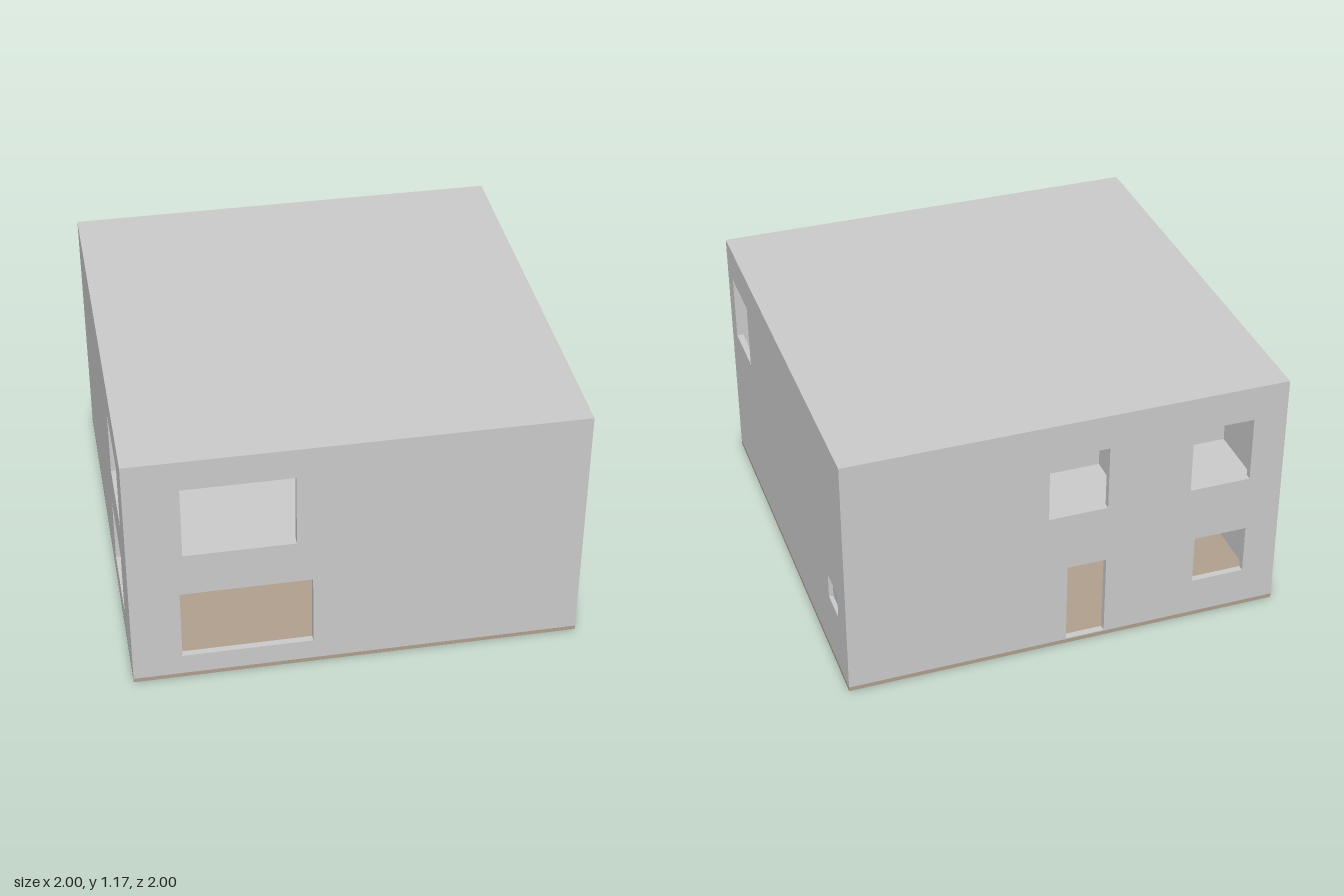
import * as THREE from 'three';

const T = 0.03;        // wall thickness
const BASE = 0.02;     // ground slab height
const TOP = 1.175;     // roof height
const FLOOR = 0.54;    // upper floor level

const grey = new THREE.MeshStandardMaterial({ color: 0xcccccc });
const brown = new THREE.MeshStandardMaterial({ color: 0xb0a08e });
const glass = new THREE.MeshStandardMaterial({ color: 0xbcc2ca });

// Box given by its limits on each axis
function block(name, [x0, x1], [y0, y1], [z0, z1], material = grey) {
  const mesh = new THREE.Mesh(new THREE.BoxGeometry(x1 - x0, y1 - y0, z1 - z0), material);
  mesh.position.set((x0 + x1) / 2, (y0 + y1) / 2, (z0 + z1) / 2);
  mesh.name = name;
  return mesh;
}

function rectangle(target, [u0, u1, v0, v1]) {
  target.moveTo(u0, v0);
  target.lineTo(u1, v0);
  target.lineTo(u1, v1);
  target.lineTo(u0, v1);
  target.closePath();
  return target;
}

// Upright wall from u0 to u1 with rectangular openings [u0, u1, y0, y1]
function wall(name, u0, u1, openings) {
  const shape = rectangle(new THREE.Shape(), [u0, u1, BASE, TOP - T]);
  for (const o of openings) shape.holes.push(rectangle(new THREE.Path(), o));
  const geometry = new THREE.ExtrudeGeometry(shape, { depth: T, bevelEnabled: false });
  const mesh = new THREE.Mesh(geometry, grey);
  mesh.name = name;
  return mesh;
}

export function createModel() {
  const house = new THREE.Group();
  house.name = 'house';

  // Slabs
  house.add(block('groundSlab', [-1, 1], [0, BASE], [-1, 1], brown));
  house.add(block('upperFloor', [-1 + T, 1 - T], [FLOOR - T, FLOOR], [-1 + T, 1 - T]));
  house.add(block('roof', [-1, 1], [TOP - T, TOP], [-1, 1]));

  // Front wall with two wide windows
  const front = wall('frontWall', -1, 1, [[-0.76, -0.27, 0.68, 1.03], [-0.78, -0.2, 0.12, 0.47]]);
  front.position.z = 1 - T;
  house.add(front);

  // Back wall with three windows and a door
  const back = wall('backWall', -1, 1, [
    [-0.18, 0.09, 0.7, 1.01], [-0.845, -0.565, 0.7, 1.01],
    [-0.18, 0, BASE + 0.005, 0.42], [-0.845, -0.6, 0.195, 0.43],
  ]);
  back.position.z = -1;
  house.add(back);

  // Side walls, drawn along -z and turned to face sideways
  const sides = [
    ['windowSideWall', -1, [[-0.78, -0.38, 0.7, 1.01], [-0.675, -0.285, 0.13, 0.45]]],
    ['plainSideWall', 1 - T, [[-0.9, -0.62, 0.7, 1.01], [0.72, 0.87, 0.31, 0.43]]],
  ];
  for (const [name, x, openings] of sides) {
    const side = wall(name, -1 + T, 1 - T, openings);
    side.rotation.y = Math.PI / 2;
    side.position.x = x;
    house.add(side);
  }
  house.add(block('smallWindowPane', [0.97, 0.98], [0.31, 0.43], [-0.87, -0.72], glass));

  // Inner partitions
  const inside = [-1 + T, 1 - T];
  const lower = [BASE, FLOOR - T], upper = [FLOOR, TOP - T];
  house.add(block('upperFrontPartition', inside, upper, [0.1, 0.12]));
  house.add(block('upperBackPartition', inside, upper, [-0.47, -0.45]));
  house.add(block('upperFrontDivider', [0.08, 0.1], upper, [0.12, 1 - T]));
  house.add(block('upperBackDivider', [-0.37, -0.35], upper, [-1 + T, -0.47]));
  house.add(block('lowerBackPartition', [-1 + T, -0.39], lower, [-0.47, -0.45]));
  house.add(block('lowerBackDivider', [-0.4, -0.385], lower, [-1 + T, -0.45]));
  house.add(block('lowerSidePartition', [0.4, 0.42], lower, [-1 + T, -0.45]));

  return house;
}
